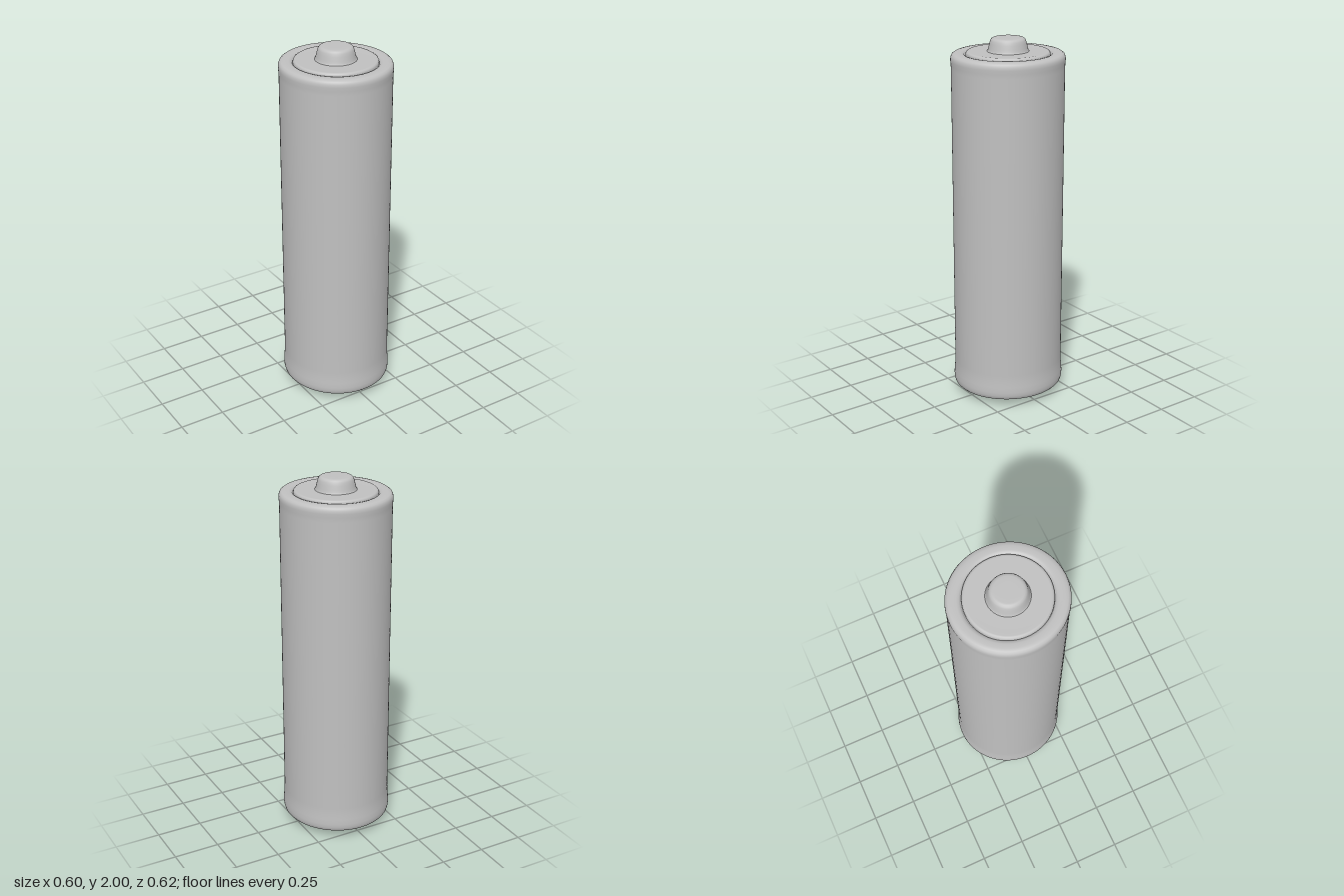
import * as THREE from 'three';

const steel = new THREE.MeshStandardMaterial({ color: 0xc0c0c0 });
steel.name = 'light grey';

// Revolve a profile of [radius, height] pairs, listed from bottom to top
function turned(name, profile, scaleX, scaleZ) {
  const points = profile.map(([r, y]) => new THREE.Vector2(r, y));
  const mesh = new THREE.Mesh(new THREE.LatheGeometry(points, 96), steel);
  mesh.scale.set(scaleX, 1, scaleZ);
  mesh.name = name;
  return mesh;
}

export function createModel() {
  const battery = new THREE.Group();
  battery.name = 'battery';

  // Slightly oval sleeve with lips swelling out at both ends
  battery.add(turned('sleeve', [
    [0, 0.05], [0.2, 0.05], [0.22, 0.048], [0.25, 0.045], [0.28, 0.044], [0.291, 0.047],
    [0.298, 0.055], [0.302, 0.07], [0.303, 0.09], [0.301, 0.12], [0.298, 0.15], [0.297, 0.19],
    [0.297, 0.6], [0.297, 1.4], [0.297, 1.84], [0.298, 1.865], [0.3, 1.885], [0.299, 1.9],
    [0.294, 1.912], [0.284, 1.919], [0.268, 1.922], [0.245, 1.922], [0.232, 1.919],
    [0.225, 1.912], [0.222, 1.905], [0.21, 1.904], [0, 1.904],
  ], 0.985, 1.02));

  // Raised disc inside the upper lip
  battery.add(turned('topDisc', [
    [0.222, 1.9], [0.221, 1.918], [0.218, 1.925], [0.212, 1.929], [0.205, 1.93],
    [0.19, 1.929], [0.12, 1.929], [0, 1.929],
  ], 1, 1.01));

  // Tapered positive contact
  battery.add(turned('positiveContact', [
    [0.112, 1.927], [0.108, 1.931], [0.105, 1.938], [0.102, 1.95], [0.097, 1.97], [0.093, 1.984],
    [0.088, 1.993], [0.08, 1.998], [0.07, 2], [0.04, 2], [0, 2],
  ], 1, 1.01));

  // Flat negative contact
  battery.add(turned('negativeContact', [
    [0, 0.001], [0.1, 0.001], [0.185, 0], [0.198, 0.001], [0.205, 0.004], [0.208, 0.01],
    [0.209, 0.02], [0.212, 0.03], [0.214, 0.04], [0.214, 0.052],
  ], 1, 1.02));

  return battery;
}
